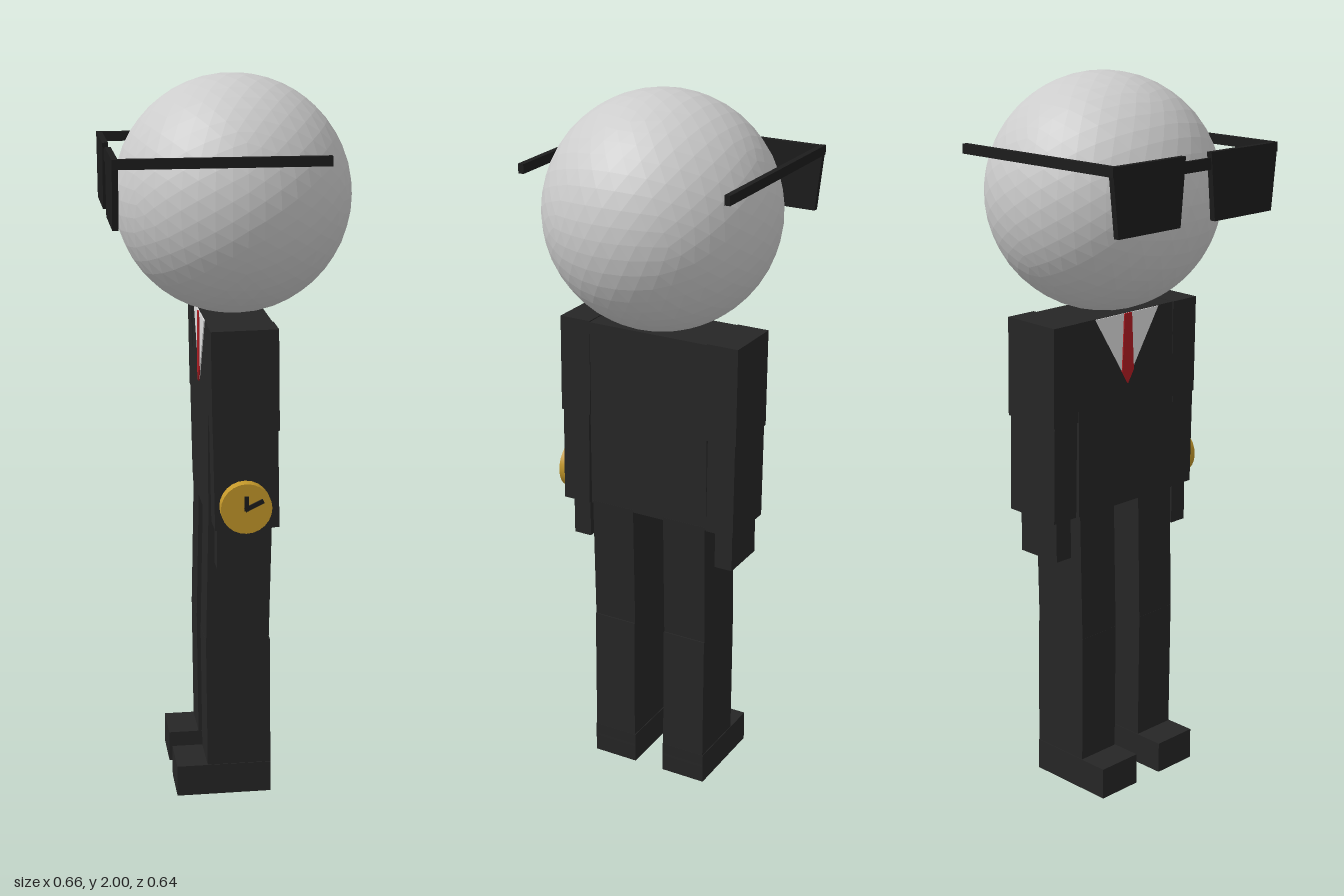
import * as THREE from 'three';

const mat = (name, color) => {
  const m = new THREE.MeshStandardMaterial({ color });
  m.name = name;
  return m;
};

export function createModel() {
  const root = new THREE.Group();
  root.name = 'suitedFigure';
  const suit = mat('black suit', 0x262626);
  const black = mat('glasses black', 0x1c1c1c);
  const skin = mat('pale grey', 0xcccccc);
  skin.flatShading = true;
  const shirtWhite = mat('shirt white', 0xdcdcdc);
  const red = mat('tie red', 0xb01c22);
  const gold = mat('watch gold', 0xc4982a);

  const add = (name, geo, material, parent = root) => {
    const m = new THREE.Mesh(geo, material);
    m.name = name;
    parent.add(m);
    return m;
  };
  // Box given by its minimum and maximum on each axis
  const box = (name, material, [x0, x1], [y0, y1], [z0, z1], parent = root) => {
    const m = add(name, new THREE.BoxGeometry(x1 - x0, y1 - y0, z1 - z0), material, parent);
    m.position.set((x0 + x1) / 2, (y0 + y1) / 2, (z0 + z1) / 2);
    return m;
  };
  // Flat plate drawn in (z, y), facing -x, with its back at the given x
  const plate = (name, material, points, depth, x, parent = root) => {
    const shape = new THREE.Shape(points.map(([z, y]) => new THREE.Vector2(z, y)));
    const geo = new THREE.ExtrudeGeometry(shape, { depth, bevelEnabled: false });
    geo.rotateY(-Math.PI / 2);
    const m = add(name, geo, material, parent);
    m.position.x = x;
    return m;
  };

  // Head; the figure looks towards -x
  add('head', new THREE.IcosahedronGeometry(0.32, 7), skin).position.set(0.01, 1.68, 0);

  // Torso with shirt front and tie
  box('torso', suit, [-0.08, 0.095], [0.82, 1.362], [-0.182, 0.182]);
  plate('shirt', shirtWhite, [[-0.12, 1.361], [0, 1.17], [0.12, 1.361]], 0.003, -0.08);
  plate('tie', red, [[-0.014, 1.361], [-0.022, 1.2], [0, 1.165], [0.022, 1.2], [0.014, 1.361]], 0.004, -0.082);

  // Arms and legs on both sides
  for (const s of [1, -1]) {
    const name = s > 0 ? 'right' : 'left';
    const span = (a, b) => (s > 0 ? [a, b] : [-b, -a]);
    const arm = new THREE.Group();
    arm.name = name + 'Arm';
    root.add(arm);
    box('upperArm', suit, [-0.081, 0.098], [1.09, 1.364], span(0.18, 0.272), arm).rotation.z = 0.015;
    box('forearm', suit, [-0.075, 0.099], [0.82, 1.1], span(0.186, 0.268), arm).rotation.z = 0.02;
    box('hand', suit, [-0.065, 0.075], [0.703, 0.83], span(0.2, 0.253), arm);

    const leg = new THREE.Group();
    leg.name = name + 'Leg';
    root.add(leg);
    box('thigh', suit, [-0.083, 0.092], [0.455, 0.83], span(0.048, 0.178), leg).rotation.z = -0.02;
    box('shin', suit, [-0.085, 0.094], [0.05, 0.462], span(0.048, 0.178), leg).rotation.z = 0.01;
    box('shoe', suit, [-0.17, 0.096], [0, 0.09], span(0.046, 0.18), leg);
  }

  // Glasses
  const glasses = new THREE.Group();
  glasses.name = 'glasses';
  root.add(glasses);
  for (const s of [1, -1]) {
    const lens = [[0.048, 1.815], [0.065, 1.635], [0.288, 1.635], [0.308, 1.815]];
    plate('lens', black, lens.map(([z, y]) => [s * z, y]), 0.016, -0.318, glasses);
    box('temple', black, [-0.334, 0.225], [1.79, 1.816], [s * 0.3 - 0.008, s * 0.3 + 0.008], glasses);
  }
  box('bridge', black, [-0.331, -0.322], [1.77, 1.8], [-0.055, 0.055], glasses);

  // Wristwatch on the +z sleeve
  const watch = new THREE.Group();
  watch.name = 'watch';
  watch.position.set(0.008, 0.887, 0.265);
  root.add(watch);
  const face = add('watchCase', new THREE.CylinderGeometry(0.069, 0.069, 0.036, 24), gold, watch);
  face.rotation.x = Math.PI / 2;
  face.position.z = 0.018;
  for (const [length, angle] of [[0.04, 0], [0.055, -1.12]]) {
    const geo = new THREE.BoxGeometry(0.012, length, 0.006);
    geo.translate(0, length / 2 - 0.005, 0.038);
    add('watchHand', geo, black, watch).rotation.z = angle;
  }
  return root;
}
